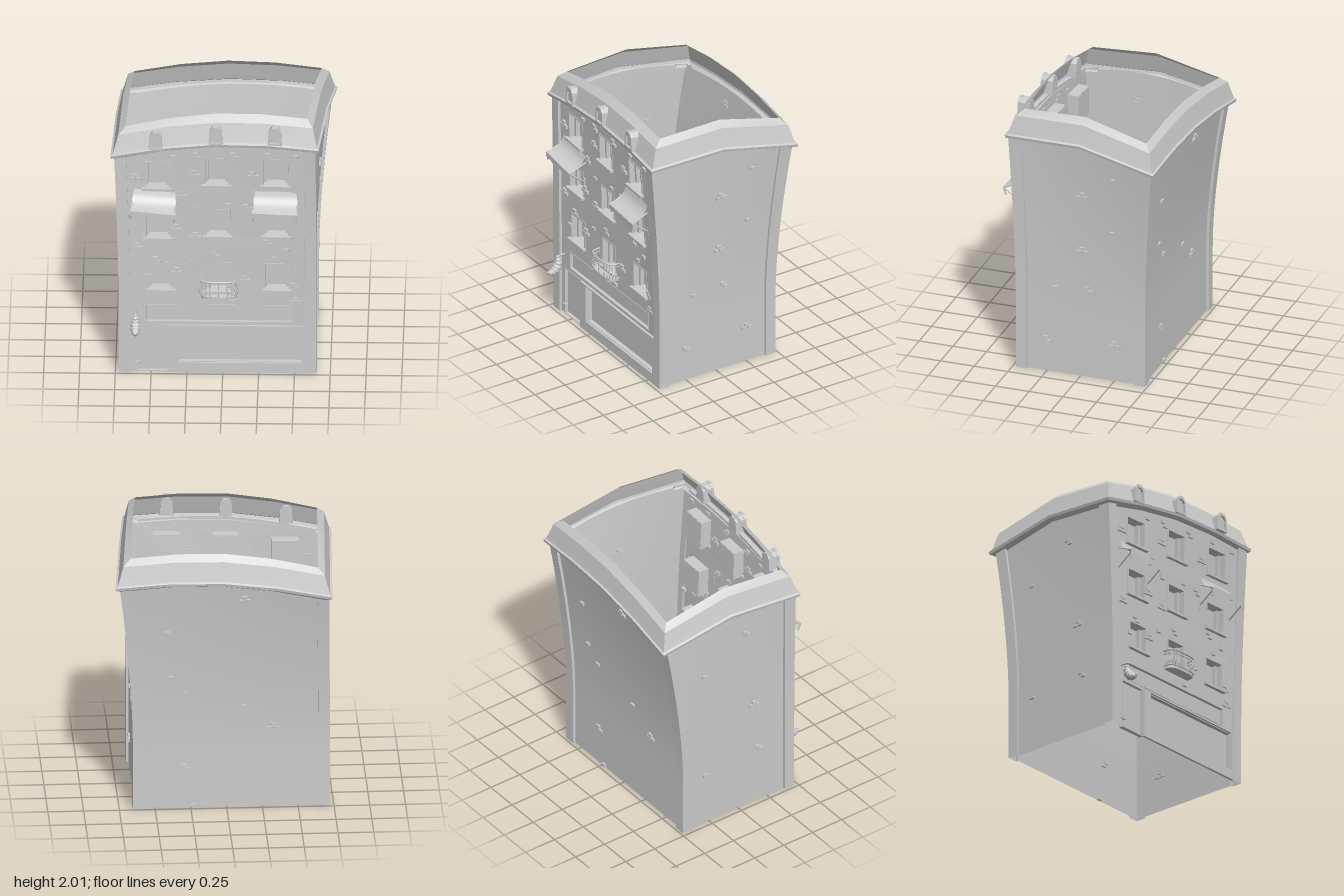
import * as THREE from 'three';

const V = (x, y, z) => new THREE.Vector3(x, y, z);
const mat = new THREE.MeshStandardMaterial({ color: 0xcccccc });
const sheet = new THREE.MeshStandardMaterial({ color: 0xcccccc, side: THREE.DoubleSide });
const mix = THREE.MathUtils.lerp;

// Plan corners [x, z] in the order front -x, front +x, back +x, back -x
const BASE = [[-0.727, 0.475], [0.655, 0.475], [0.655, -0.484], [-0.722, -0.484]];
const TOP = [[-0.762, 0.465], [0.647, 0.535], [0.758, -0.568], [-0.708, -0.637]];
const EAVE = [[-0.785, 0.49], [0.67, 0.555], [0.782, -0.59], [-0.73, -0.66]];
const CREST = [[-0.68, 0.39], [0.59, 0.432], [0.672, -0.5], [-0.635, -0.565]];
const EAVE_Y = [1.68, 1.77, 1.69, 1.62];
const INSET = 0.02;

const eaveY = (k, s) => mix(EAVE_Y[k], EAVE_Y[(k + 1) % 4], s) + 0.07 * Math.sin(Math.PI * s);
const cornerAt = (k, y) => {
  const t = Math.pow(THREE.MathUtils.clamp((y - 0.5) / 1.25, 0, 1.1), 1.6);
  return [0, 1].map(i => mix(BASE[k % 4][i], TOP[k % 4][i], t));
};
// Point on wall k at fraction s and height y, pushed outwards by out
function wallPoint(k, s, y, out = 0) {
  const a = cornerAt(k, y), b = cornerAt(k + 1, y);
  const n = V(a[1] - b[1], 0, b[0] - a[0]).normalize();
  return V(mix(a[0], b[0], s), y, mix(a[1], b[1], s)).addScaledVector(n, out);
}
const frontS = (x, y) => {
  const a = cornerAt(0, y)[0], b = cornerAt(1, y)[0];
  return (x - a) / (b - a);
};

function add(parent, geo, name, m = mat, x = 0, y = 0, z = 0) {
  const mesh = new THREE.Mesh(geo, m);
  mesh.name = name;
  mesh.position.set(x, y, z);
  parent.add(mesh);
  return mesh;
}
const box = (p, name, w, h, d, x, y, z) => add(p, new THREE.BoxGeometry(w, h, d), name, mat, x, y, z);
function group(parent, name) {
  const g = new THREE.Group();
  g.name = name;
  parent.add(g);
  return g;
}
// Surface of nu by nv quads through fn(u, v)
function grid(nu, nv, fn) {
  const pos = [], idx = [];
  for (let j = 0; j <= nv; j++) for (let i = 0; i <= nu; i++) pos.push(...fn(i / nu, j / nv).toArray());
  for (let j = 0; j < nv; j++) for (let i = 0; i < nu; i++) {
    const a = j * (nu + 1) + i, c = a + nu + 1;
    idx.push(a, a + 1, c + 1, a, c + 1, c);
  }
  const g = new THREE.BufferGeometry();
  g.setAttribute('position', new THREE.Float32BufferAttribute(pos, 3));
  g.setIndex(idx);
  g.computeVertexNormals();
  return g;
}
function rod(parent, name, a, b, r) {
  const m = add(parent, new THREE.CylinderGeometry(r, r, a.distanceTo(b), 8), name);
  m.position.copy(a).lerp(b, 0.5);
  m.quaternion.setFromUnitVectors(V(0, 1, 0), b.clone().sub(a).normalize());
}
// Group standing on a wall: x along it, y up it, z outwards
function onWall(parent, name, k, s, y, out = -INSET) {
  const g = group(parent, name);
  const t = wallPoint(k, s + 0.01, y).sub(wallPoint(k, s - 0.01, y)).normalize();
  const up = wallPoint(k, s, y + 0.02).sub(wallPoint(k, s, y - 0.02)).normalize();
  const n = t.clone().cross(up).normalize();
  g.quaternion.setFromRotationMatrix(new THREE.Matrix4().makeBasis(t, n.clone().cross(t), n));
  g.position.copy(wallPoint(k, s, y, out));
  return g;
}
const rect = (C, x0, x1, y0, y1) => new C([[x0, y0], [x1, y0], [x1, y1], [x0, y1]].map(p => new THREE.Vector2(...p)));

// Windows as [x0, x1, y0, y1]
const WINDOWS = [
  [-0.55, -0.37, 1.435, 1.64], [-0.13, 0.04, 1.47, 1.68], [0.28, 0.455, 1.475, 1.685],
  [-0.54, -0.36, 1.045, 1.245], [-0.12, 0.05, 1.065, 1.27], [0.285, 0.46, 1.07, 1.27],
  [-0.52, -0.345, 0.64, 0.845], [-0.115, 0.055, 0.63, 0.85], [0.29, 0.465, 0.645, 0.85]];
const SIGN = [-0.54, 0.48, 0.387, 0.518], DOOR = [-0.6, -0.385, 0.003, 0.36], SHOP = [-0.31, 0.555, 0.075, 0.355];

function buildWalls(root) {
  const g = group(root, 'walls');
  for (let k = 0; k < 4; k++) {
    const a = k % 2 ? 0.084 : 0.058;
    const patch = (name, s0, s1, o0, o1, ns) => add(g, grid(ns, 14, (u, v) => {
      const s = mix(s0, s1, u);
      return wallPoint(k, s, v * eaveY(k, s), mix(o0, o1, u));
    }), name, sheet);
    patch('cornerPilaster', 0, a, 0, 0, 1);
    patch('pilasterStep', a, a, 0, -INSET, 1);
    if (k) patch('wallPanel', a, 1 - a, -INSET, -INSET, 8);
    patch('pilasterStep', 1 - a, 1 - a, -INSET, 0, 1);
    patch('cornerPilaster', 1 - a, 1, 0, 0, 1);
  }
  // Front wall with openings, laid onto the leaning surface
  const pts = [], N = 12, a = 0.058;
  const edge = (s, y) => { const p = wallPoint(0, s, y); pts.push(new THREE.Vector2(p.x, p.y)); };
  for (let i = 0; i <= N; i++) edge(1 - a, i / N * eaveY(0, 1 - a));
  for (let i = 1; i < N; i++) { const s = mix(1 - a, a, i / N); edge(s, eaveY(0, s)); }
  for (let i = N; i >= 0; i--) edge(a, i / N * eaveY(0, a));
  const shape = new THREE.Shape(pts);
  for (const h of [...WINDOWS, SIGN, DOOR, SHOP]) shape.holes.push(rect(THREE.Path, ...h));
  const geo = new THREE.ShapeGeometry(shape), p = geo.attributes.position;
  for (let i = 0; i < p.count; i++) {
    const x = p.getX(i), y = p.getY(i);
    p.setZ(i, wallPoint(0, frontS(x, y), y, -INSET).z);
  }
  geo.computeVertexNormals();
  add(g, geo, 'frontWall', sheet);
}

// Box-shaped recess with a back pane
function recess(parent, name, [x0, x1, y0, y1], depth, t) {
  const w = x1 - x0, h = y1 - y0, y = (y0 + y1) / 2;
  const g = onWall(parent, name, 0, frontS((x0 + x1) / 2, y), y);
  for (const s of [-1, 1]) {
    box(g, 'jamb', t, h + t, depth, s * (w / 2), 0, -depth / 2 + 0.004);
    box(g, 'lintel', w + t, t, depth, 0, s * (h / 2), -depth / 2 + 0.004);
  }
  box(g, 'pane', w, h, 0.008, 0, 0, -depth + 0.006);
  return g;
}

function buildFront(root) {
  const g = group(root, 'frontDetails');
  for (const w of WINDOWS) {
    const win = recess(g, 'window', w, 0.085, 0.01), ww = w[1] - w[0], h = w[3] - w[2];
    for (const s of [-1, 1]) box(win, 'casement', 0.022, h, 0.03, s * (ww / 2 - 0.014), 0, -0.055);
    box(win, 'sill', ww + 0.035, 0.018, 0.045, 0, -h / 2 - 0.003, 0.006);
  }
  recess(g, 'signBoard', SIGN, 0.03, 0.01);
  recess(g, 'door', DOOR, 0.03, 0.006);
  recess(g, 'shopWindow', SHOP, 0.04, 0.01);
  const s = rect(THREE.Shape, -0.385, 0.575, 0, 0.365);
  s.holes.push(rect(THREE.Path, ...SHOP));
  add(g, new THREE.ExtrudeGeometry(s, { depth: 0.018, bevelEnabled: false }), 'shopFrame', mat, 0, 0, 0.455);
}

// Mansard ring: profile of [inward fraction, height above the eave]
function buildRoof(root) {
  const g = group(root, 'roof');
  const ring = (name, prof) => {
    for (let k = 0; k < 4; k++) for (let j = 0; j + 1 < prof.length; j++)
      add(g, grid(k % 2 ? 2 : 4, 1, (u, v) => {
        const f = mix(prof[j][0], prof[j + 1][0], v), q = (k + 1) % 4;
        const at = (c, i) => mix(EAVE[c][i], CREST[c][i], f);
        return V(mix(at(k, 0), at(q, 0), u), eaveY(k, u) + mix(prof[j][1], prof[j + 1][1], v), mix(at(k, 1), at(q, 1), u));
      }), name, sheet);
  };
  ring('eaveMoulding', [[0.42, -0.02], [0.05, -0.005], [0, 0.015], [0.15, 0.025]]);
  ring('mansardSlope', [[0.15, 0.025], [0.25, 0.06], [0.52, 0.16], [1, 0.205]]);
  // Dormers
  for (const [x, y, z] of [[-0.47, 1.757, 0.508], [-0.05, 1.81, 0.53], [0.363, 1.82, 0.552]]) {
    const d = group(g, 'dormer');
    d.position.set(x, y, z);
    d.rotation.y = -0.045;
    const house = (C, k, dy) => new C([[-0.05, 0], [0.05, 0], [0.043, 0.105], [0.02, 0.135], [-0.02, 0.135], [-0.043, 0.105]]
      .map(p => new THREE.Vector2(p[0] * k, p[1] * k + dy)));
    const frame = house(THREE.Shape, 1, 0);
    frame.holes.push(house(THREE.Path, 0.72, 0.015));
    add(d, new THREE.ExtrudeGeometry(frame, { depth: 0.02, bevelEnabled: false }), 'dormerFrame', mat, 0, 0, -0.02);
    add(d, new THREE.ExtrudeGeometry(house(THREE.Shape, 0.95, 0.002), { depth: 0.075, bevelEnabled: false }), 'dormerBody', mat, 0, 0, -0.09);
  }
}

function buildAwning(root, x, y, roll) {
  const g = onWall(root, 'awning', 0, frontS(x, y), y);
  g.rotateZ(roll);
  const curve = new THREE.CatmullRomCurve3([V(0, 0, 0), V(0, -0.05, 0.022), V(0, -0.088, 0.065), V(0, -0.11, 0.135)]);
  const w = v => 0.29 + 0.03 * v;
  add(g, grid(1, 10, (u, v) => curve.getPoint(1 - v).setX((u - 0.5) * w(1 - v))), 'canopy', sheet);
  add(g, grid(40, 1, (u, v) => V((u - 0.5) * 0.32, v ? -0.11 : -0.142 - 0.012 * Math.abs(Math.sin(u * Math.PI * 5)), 0.135)), 'valance', sheet);
  for (const s of [-1, 1]) {
    const e = s * 0.152;
    rod(g, 'awningArm', V(e, -0.12, 0.13), V(e, -0.22, 0), 0.006);
    rod(g, 'awningRail', V(e, -0.06, 0), V(e, -0.115, 0.13), 0.005);
    rod(g, 'armHook', V(e, -0.12, 0.13), V(e, -0.175, 0.12), 0.006);
    box(g, 'armBracket', 0.014, 0.06, 0.012, e, -0.22, 0.004);
  }
}

function buildBalcony(root) {
  const g = onWall(root, 'balcony', 0, frontS(-0.028, 0.6), 0.6);
  // Rounded plan, k scales the bulge
  const plan = (u, y, k) => {
    const a = Math.PI * (1 - u), c = Math.cos(a);
    return V(0.135 * k * Math.sign(c) * Math.pow(Math.abs(c), 0.6), y, 0.088 * k * Math.pow(Math.max(0, Math.sin(a)), 0.5));
  };
  const path = (y, k) => new THREE.CatmullRomCurve3(Array.from({ length: 25 }, (_, i) => plan(i / 24, y, k)));
  const floor = new THREE.Shape(path(0, 0.92).getPoints(24).map(p => new THREE.Vector2(p.x, -p.z)));
  add(g, new THREE.ExtrudeGeometry(floor, { depth: 0.018, bevelEnabled: false }), 'balconyFloor').rotation.x = -Math.PI / 2;
  for (const [y, k, r] of [[0.138, 0.94, 0.007], [0.115, 0.92, 0.004], [0.024, 0.95, 0.005]])
    add(g, new THREE.TubeGeometry(path(y, k), 40, r, 6), 'rail');
  for (let i = 0; i <= 10; i++) {
    const u = 0.04 + 0.92 * i / 10;
    const c = new THREE.CatmullRomCurve3([plan(u, 0.015, 0.88), plan(u, 0.05, 1.02), plan(u, 0.09, 0.93), plan(u, 0.138, 0.94)]);
    add(g, new THREE.TubeGeometry(c, 10, 0.004, 6), 'baluster');
  }
}

// Hanging crescent pastry beside the door
function buildPastry(root) {
  const g = group(root, 'hangingPastry');
  const c = new THREE.CatmullRomCurve3([V(-0.61, 0.465, 0.515), V(-0.61, 0.42, 0.507), V(-0.61, 0.375, 0.527), V(-0.61, 0.352, 0.56), V(-0.61, 0.358, 0.593)]);
  [0.012, 0.02, 0.028, 0.034, 0.034, 0.029, 0.021, 0.011].forEach((r, i) => {
    const m = add(g, new THREE.SphereGeometry(r, 14, 10), 'pastryRoll');
    m.position.copy(c.getPoint(i / 7));
    m.quaternion.setFromUnitVectors(V(0, 1, 0), c.getTangent(i / 7));
    m.scale.y = 0.75;
  });
  rod(g, 'pastryBracket', V(-0.61, 0.47, 0.45), V(-0.61, 0.47, 0.52), 0.006);
}

// Exposed bricks: [position, height, count]
const FRONT_BRICKS = [[-0.6, 1.52, 3], [-0.28, 1.39, 3], [-0.19, 1.56, 3], [-0.18, 1.7, 2], [-0.36, 1.7, 1], [0.08, 1.71, 2],
  [0.3, 1.74, 1], [0.5, 1.73, 1], [0.22, 1.56, 3], [0.17, 1.3, 2], [0.02, 1.33, 1], [-0.2, 1.3, 1], [-0.32, 1.13, 3],
  [-0.18, 1.07, 3], [-0.59, 0.98, 3], [-0.46, 0.875, 2], [-0.31, 0.79, 3], [-0.23, 0.88, 1], [-0.05, 0.92, 2], [0.31, 1.02, 2],
  [0.43, 0.975, 1], [0.35, 0.91, 1], [0.55, 0.94, 1], [0.16, 0.73, 3], [0.5, 0.68, 2], [0.52, 0.565, 3], [0.05, 0.565, 1],
  [-0.54, 0.76, 1], [0.01, 0.05, 1], [0.49, 0.04, 2], [-0.61, 0.08, 1]];
const SIDE_BRICKS = [[],
  [[0.52, 1.41, 3], [0.72, 1.59, 1], [0.72, 1.165, 1], [0.52, 0.98, 3], [0.29, 0.67, 1], [0.56, 0.675, 2], [0.77, 0.28, 3], [0.24, 0.245, 2]],
  [[0.2, 1.35, 1], [0.6, 1.6, 3], [0.2, 1, 1], [0.27, 0.88, 1], [0.56, 0.77, 1], [0.72, 0.6, 3], [0.27, 0.3, 2], [0.3, 0.03, 1]],
  [[0.62, 1.5, 2], [0.25, 1.28, 1], [0.67, 0.85, 3], [0.69, 0.45, 2], [0.2, 0.42, 1]]];

function buildBricks(root) {
  const g = group(root, 'exposedBricks');
  const lay = (k, s, y, n) => {
    const c = onWall(g, 'brickCluster', k, s, y);
    for (const [x, dy] of [[0.012, -0.013], [-0.012, 0.013], [-0.03, -0.013]].slice(0, n))
      box(c, 'brick', 0.036, 0.022, 0.024, x, dy, 0.002);
  };
  for (const [x, y, n] of FRONT_BRICKS) lay(0, frontS(x, y), y, n);
  SIDE_BRICKS.forEach((list, k) => list.forEach(b => lay(k, ...b)));
}

export function createModel() {
  const root = new THREE.Group();
  root.name = 'townHouse';
  buildWalls(root);
  buildFront(root);
  buildRoof(root);
  buildAwning(root, -0.475, 1.415, -0.08);
  buildAwning(root, 0.37, 1.43, -0.03);
  buildBalcony(root);
  buildPastry(root);
  buildBricks(root);
  return root;
}
